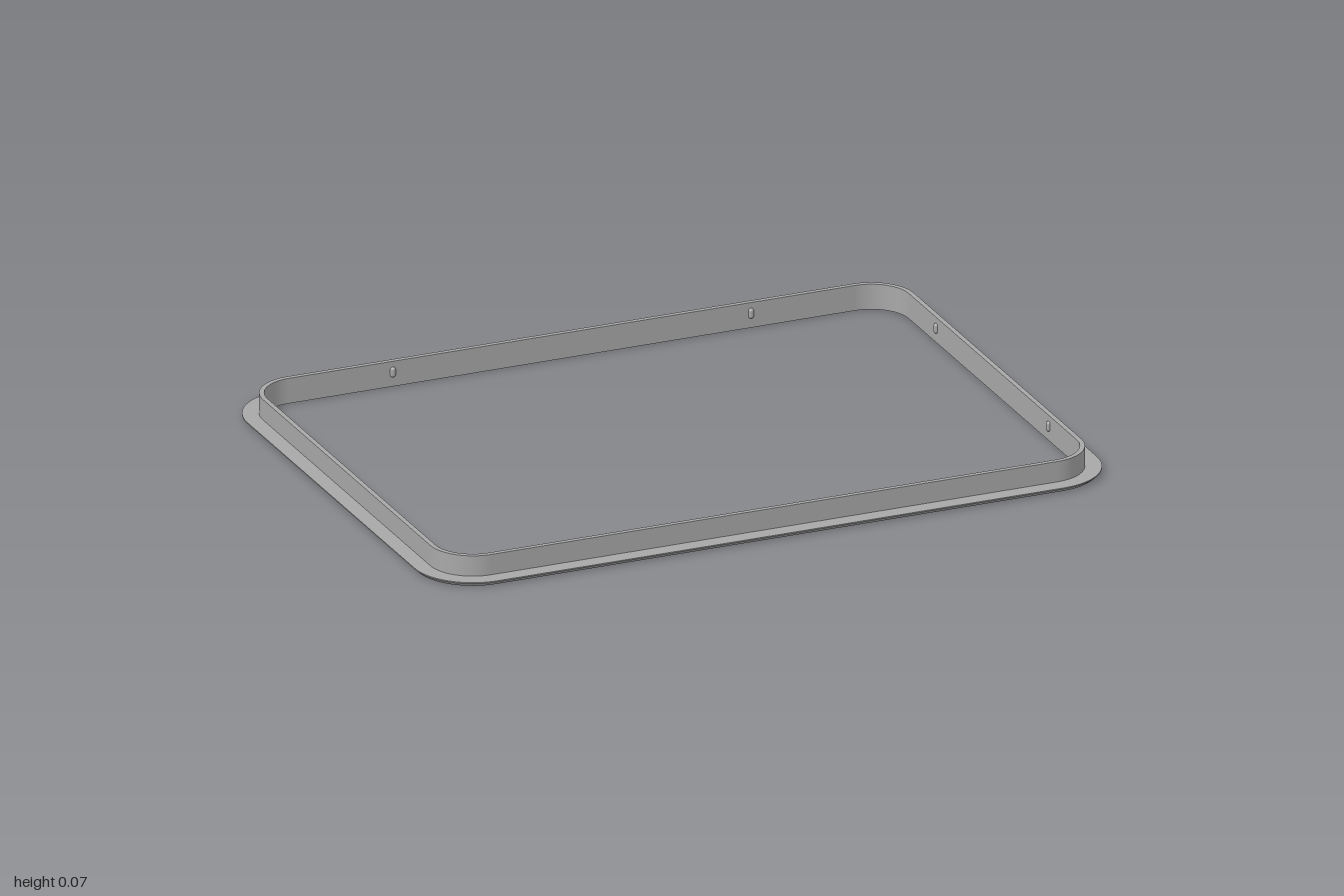
import * as THREE from 'three';

const HALF_X = 1, HALF_Z = 0.736, RADIUS = 0.17, ARC_STEPS = 16;

// Closed cross-section, counter-clockwise: [inset from outer rim, height]
const PROFILE = [
  [0.06, 0], [0.012, 0], [0, 0.011], [0, 0.014],
  [0.046, 0.014], [0.046, 0.073], [0.06, 0.073],
];

// Sweep the cross-section round a rounded rectangle, with sharp profile edges
function sweepFrame(profile) {
  const pos = [], nor = [], idx = [];
  const stations = [];
  const corners = [[1, 1], [-1, 1], [-1, -1], [1, -1]];
  corners.forEach(([sx, sz], c) => {
    for (let i = 0; i <= ARC_STEPS; i++) {
      const a = (c + i / ARC_STEPS) * Math.PI / 2;
      stations.push([sx * (HALF_X - RADIUS), sz * (HALF_Z - RADIUS), Math.cos(a), Math.sin(a)]);
    }
  });
  const n = stations.length;
  profile.forEach((p, k) => {
    const q = profile[(k + 1) % profile.length];
    const dOut = p[0] - q[0], dy = q[1] - p[1], len = Math.hypot(dOut, dy);
    const base = pos.length / 3;
    stations.forEach(([cx, cz, ca, sa], i) => {
      for (const [inset, y] of [p, q]) {
        const r = RADIUS - inset;
        pos.push(cx + r * ca, y, cz + r * sa);
        nor.push(ca * dy / len, -dOut / len, sa * dy / len);
      }
      const a = base + 2 * i, b = base + 2 * ((i + 1) % n);
      idx.push(a, a + 1, b, a + 1, b + 1, b);
    });
  });
  const g = new THREE.BufferGeometry();
  g.setAttribute('position', new THREE.Float32BufferAttribute(pos, 3));
  g.setAttribute('normal', new THREE.Float32BufferAttribute(nor, 3));
  g.setIndex(idx);
  return g;
}

export function createModel() {
  const model = new THREE.Group();
  model.name = 'frame';
  const grey = new THREE.MeshStandardMaterial({ color: 0xa8a8a8 });
  grey.name = 'grey';

  // Bevelled flange and upright wall
  const rim = new THREE.Mesh(sweepFrame(PROFILE), grey);
  rim.name = 'flangedRim';
  model.add(rim);

  // Small retaining nubs on the inner wall
  const nubGeometry = new THREE.CapsuleGeometry(0.008, 0.014, 6, 12);
  const inX = HALF_X - 0.06, inZ = HALF_Z - 0.06;
  const nubs = [
    [-0.525, -inZ], [0.525, -inZ], [-0.525, inZ], [0.7, inZ],
    [-inX, -0.38], [-inX, 0.38], [inX, -0.38], [inX, 0.38],
  ];
  for (const [x, z] of nubs) {
    const nub = new THREE.Mesh(nubGeometry, grey);
    nub.name = 'retainingNub';
    nub.position.set(x, 0.042, z);
    model.add(nub);
  }
  return model;
}
